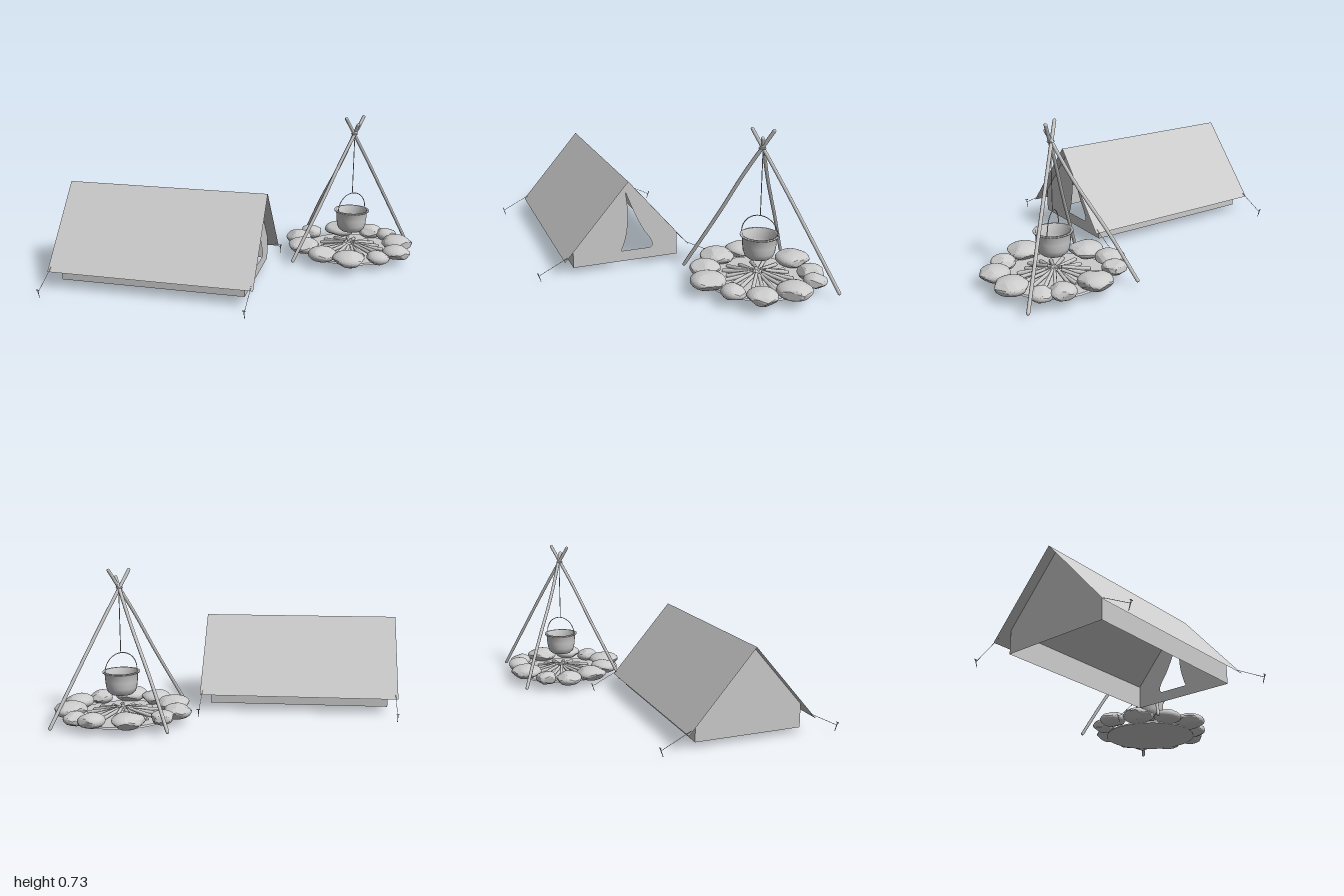
import * as THREE from 'three';

const material = new THREE.MeshStandardMaterial({ color: 0xcccccc });
const flat = new THREE.MeshStandardMaterial({ color: 0xcccccc, flatShading: true });
const sheet = new THREE.MeshStandardMaterial({ color: 0xcccccc, side: THREE.DoubleSide, flatShading: true });
const openSmooth = new THREE.MeshStandardMaterial({ color: 0xcccccc, side: THREE.DoubleSide });
const V = (x, y, z) => new THREE.Vector3(x, y, z);

let seed = 7;
const rand = () => (seed = (seed * 16807) % 2147483647) / 2147483647;

function add(parent, name, geometry, mat = material) {
  const mesh = new THREE.Mesh(geometry, mat);
  mesh.name = name;
  parent.add(mesh);
  return mesh;
}

// Straight round bar between two points
function bar(parent, name, a, b, r0, r1 = r0, sides = 8) {
  const mesh = add(parent, name, new THREE.CylinderGeometry(r1, r0, a.distanceTo(b), sides));
  mesh.position.copy(a).lerp(b, 0.5);
  mesh.quaternion.setFromUnitVectors(V(0, 1, 0), b.clone().sub(a).normalize());
  return mesh;
}

// Thin sheet swept from a profile in x/y, running from -half to +half in z
function ribbon(parent, name, profile, half) {
  const pos = [], index = [];
  profile.forEach(([x, y], i) => {
    pos.push(x, y, -half, x, y, half);
    if (i) {
      const k = i * 2;
      index.push(k - 2, k - 1, k + 1, k - 2, k + 1, k);
    }
  });
  const g = new THREE.BufferGeometry();
  g.setAttribute('position', new THREE.Float32BufferAttribute(pos, 3));
  g.setIndex(index);
  g.computeVertexNormals();
  return add(parent, name, g, sheet);
}

function buildTent() {
  const tent = new THREE.Group();
  tent.name = 'tent';
  const ridge = 0.44, eave = 0.08, floor = 0.028;
  const roofX = 0.311, roofZ = 0.492, wallX = 0.26, wallZ = 0.443;
  const wallTop = ridge - (wallX * (ridge - eave)) / roofX;

  ribbon(tent, 'roof', [[-roofX, eave], [0, ridge], [roofX, eave]], roofZ);
  for (const s of [-1, 1]) ribbon(tent, 'sideWall', [[s * wallX, floor], [s * wallX, wallTop]], wallZ);

  // End walls, the front one with a half-open door
  for (const s of [-1, 1]) {
    const shape = new THREE.Shape();
    shape.moveTo(-wallX, floor);
    shape.lineTo(wallX, floor);
    shape.lineTo(wallX, wallTop);
    shape.lineTo(0, ridge);
    shape.lineTo(-wallX, wallTop);
    shape.closePath();
    if (s > 0) {
      const door = new THREE.Path();
      door.moveTo(0, 0.375);
      door.bezierCurveTo(0.02, 0.25, 0.012, 0.16, -0.024, 0.08);
      door.lineTo(0.115, 0.08);
      door.quadraticCurveTo(0.137, 0.08, 0.132, 0.105);
      door.quadraticCurveTo(0.12, 0.135, 0.095, 0.165);
      door.quadraticCurveTo(0.05, 0.24, 0, 0.375);
      shape.holes.push(door);
    }
    const wall = add(tent, s > 0 ? 'frontWall' : 'backWall', new THREE.ShapeGeometry(shape, 10), sheet);
    wall.position.z = s * wallZ;
  }

  // Guy ropes and pegs at the four eave corners
  for (const sx of [-1, 1]) for (const sz of [-1, 1]) {
    const z = sz * (roofZ - 0.012);
    bar(tent, 'guyRope', V(sx * (roofX - 0.02), eave + 0.02, z), V(sx * 0.43, 0.03, z), 0.0012, 0.0012, 5);
    bar(tent, 'peg', V(sx * 0.424, 0, z), V(sx * 0.438, 0.042, z), 0.0015, 0.0025, 6);
    bar(tent, 'pegHook', V(sx * 0.437, 0.04, z - 0.008), V(sx * 0.437, 0.04, z + 0.008), 0.002, 0.002, 6);
  }
  tent.position.set(-0.34, 0, 0.005);
  tent.rotation.y = 0.807;
  return tent;
}

// Rounded stone: a sphere cut back by a few random planes
function stoneGeometry() {
  const g = new THREE.IcosahedronGeometry(1, 4);
  const planes = Array.from({ length: 11 }, () => ({
    n: V(rand() - 0.5, (rand() - 0.5) * 0.9, rand() - 0.5).normalize(), d: 0.8 + rand() * 0.14,
  }));
  const p = g.attributes.position, v = V(0, 0, 0);
  for (let i = 0; i < p.count; i++) {
    v.fromBufferAttribute(p, i);
    let k = 1;
    for (const { n, d } of planes) {
      const t = v.dot(n);
      if (t > d) k = Math.min(k, d / t);
    }
    v.multiplyScalar(k);
    p.setXYZ(i, v.x, v.y, v.z);
  }
  g.computeVertexNormals();
  return g;
}

function buildFire() {
  const fire = new THREE.Group();
  fire.name = 'campfire';

  const ash = add(fire, 'ashBed', new THREE.CylinderGeometry(0.235, 0.24, 0.008, 32));
  ash.position.y = 0.028;

  // Ring of stones: x, z, radius
  const stones = [
    [-0.17, -0.215, 0.066], [-0.06, -0.26, 0.055], [0.098, -0.213, 0.077], [0.22, -0.1, 0.06],
    [0.263, -0.022, 0.052], [0.213, 0.123, 0.076], [0.107, 0.24, 0.066], [-0.02, 0.247, 0.055],
    [-0.162, 0.197, 0.077], [-0.23, 0.07, 0.068], [-0.235, -0.085, 0.077],
  ];
  for (const [x, z, r] of stones) {
    const stone = add(fire, 'stone', stoneGeometry(), flat);
    const h = 0.028 + r * 0.13;
    stone.scale.set(r * 1.06, h, r * 1.06);
    stone.position.set(x, 0.024 + h, z);
  }

  // Firewood laid like spokes
  const count = 18;
  for (let i = 0; i < count; i++) {
    const a = (i / count) * Math.PI * 2 + (rand() - 0.5) * 0.16;
    const outer = 0.14 + rand() * 0.04, inner = 0.01 + rand() * 0.03;
    const c = Math.cos(a), s = Math.sin(a);
    bar(fire, 'firewood', V(c * outer, 0.034, s * outer), V(c * inner, 0.052 + rand() * 0.012, s * inner), 0.01, 0.008, 7);
  }

  // Tripod of slightly crooked poles
  const poles = [
    [V(-0.365, 0.028, 0.005), V(-0.19, 0.32, 0.006), V(-0.08, 0.515, 0.005), V(0.052, 0.725, 0.004)],
    [V(0.378, 0.028, -0.002), V(0.235, 0.265, -0.003), V(0.11, 0.47, -0.004), V(-0.05, 0.722, -0.004)],
    [V(-0.012, 0.028, -0.375), V(-0.008, 0.24, -0.25), V(-0.002, 0.48, -0.093), V(0.006, 0.69, 0.02)],
  ];
  for (const pts of poles) {
    const curve = new THREE.CatmullRomCurve3(pts);
    add(fire, 'tripodPole', new THREE.TubeGeometry(curve, 16, 0.0085, 8));
    for (const p of [pts[0], pts[3]]) {
      const cap = add(fire, 'poleEnd', new THREE.SphereGeometry(0.0085, 8, 6));
      cap.position.copy(p);
    }
  }
  const lashing = add(fire, 'lashing', new THREE.TorusGeometry(0.013, 0.004, 6, 16));
  lashing.rotation.x = Math.PI / 2;
  lashing.position.set(0, 0.642, 0);

  // Hanging pot
  const pot = new THREE.Group();
  pot.name = 'pot';
  const profile = [[0, 0.125], [0.03, 0.126], [0.052, 0.132], [0.066, 0.145], [0.073, 0.165],
    [0.077, 0.195], [0.079, 0.23], [0.089, 0.237], [0.089, 0.242], [0.077, 0.242],
    [0.073, 0.195], [0.068, 0.165], [0.05, 0.14], [0, 0.132]];
  add(pot, 'potBody', new THREE.LatheGeometry(profile.map(([x, y]) => new THREE.Vector2(x, y)), 32), openSmooth);
  const handle = add(pot, 'potHandle', new THREE.TorusGeometry(0.086, 0.0022, 6, 32, Math.PI));
  handle.position.y = 0.245;
  bar(pot, 'hangingRope', V(0, 0.331, 0), V(0, 0.645, 0), 0.002, 0.002, 6);
  pot.position.x = 0.003;
  fire.add(pot);

  fire.position.set(0.612, 0, 0.22);
  return fire;
}

export function createModel() {
  const model = new THREE.Group();
  model.name = 'campsite';
  model.add(buildTent(), buildFire());
  return model;
}
